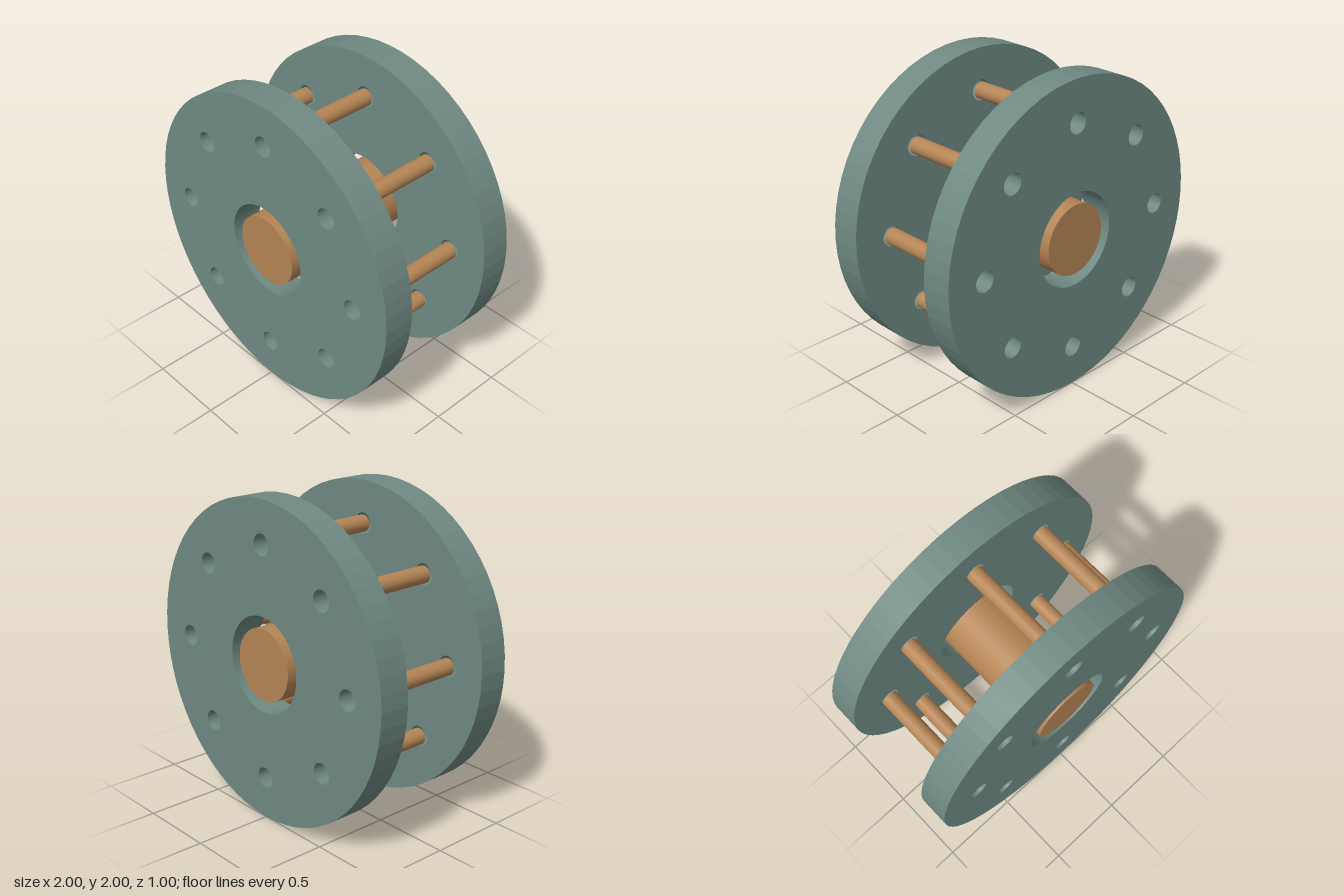
import * as THREE from 'three';

const PLATE_RADIUS = 1, PLATE_DEPTH = 0.2, HALF_DEPTH = 0.5;
const ROD_COUNT = 8, ROD_CIRCLE = 0.733, GAP = 0.6;

// Evenly spaced centres of the bolt circle
const boltCentres = Array.from({ length: ROD_COUNT }, (_, i) => {
  const a = (i / ROD_COUNT) * Math.PI * 2;
  return [Math.cos(a) * ROD_CIRCLE, Math.sin(a) * ROD_CIRCLE];
});

function circleHole(x, y, r) {
  return new THREE.Path().absarc(x, y, r, 0, Math.PI * 2, true);
}

export function createModel() {
  const model = new THREE.Group();
  model.name = 'flangedSpool';
  const plateMaterial = new THREE.MeshStandardMaterial({ color: 0x6f8982 });
  const rodMaterial = new THREE.MeshStandardMaterial({ color: 0xb58555 });

  // Round plate with a central bore and a ring of bolt holes
  const outline = new THREE.Shape().absarc(0, 0, PLATE_RADIUS, 0, Math.PI * 2, false);
  outline.holes.push(circleHole(0, 0, 0.302));
  for (const [x, y] of boltCentres) outline.holes.push(circleHole(x, y, 0.066));
  const plateGeometry = new THREE.ExtrudeGeometry(outline, {
    depth: PLATE_DEPTH, bevelEnabled: false, curveSegments: 32,
  });

  const addPlate = (name, z) => {
    const plate = new THREE.Mesh(plateGeometry, plateMaterial);
    plate.name = name;
    plate.position.set(0, PLATE_RADIUS, z);
    model.add(plate);
  };
  addPlate('frontPlate', HALF_DEPTH - PLATE_DEPTH);
  addPlate('backPlate', -HALF_DEPTH);

  // Cylinder lying along z
  const addRod = (name, x, y, radius, length, segments) => {
    const geometry = new THREE.CylinderGeometry(radius, radius, length, segments);
    geometry.rotateX(Math.PI / 2);
    const rod = new THREE.Mesh(geometry, rodMaterial);
    rod.name = name;
    rod.position.set(x, PLATE_RADIUS + y, 0);
    model.add(rod);
  };

  // Central shaft runs flush with the outer faces; the thin rods span the gap
  addRod('centralShaft', 0, 0, 0.227, HALF_DEPTH * 2, 64);
  boltCentres.forEach(([x, y], i) => addRod(`rod${i + 1}`, x, y, 0.053, GAP, 32));

  return model;
}
